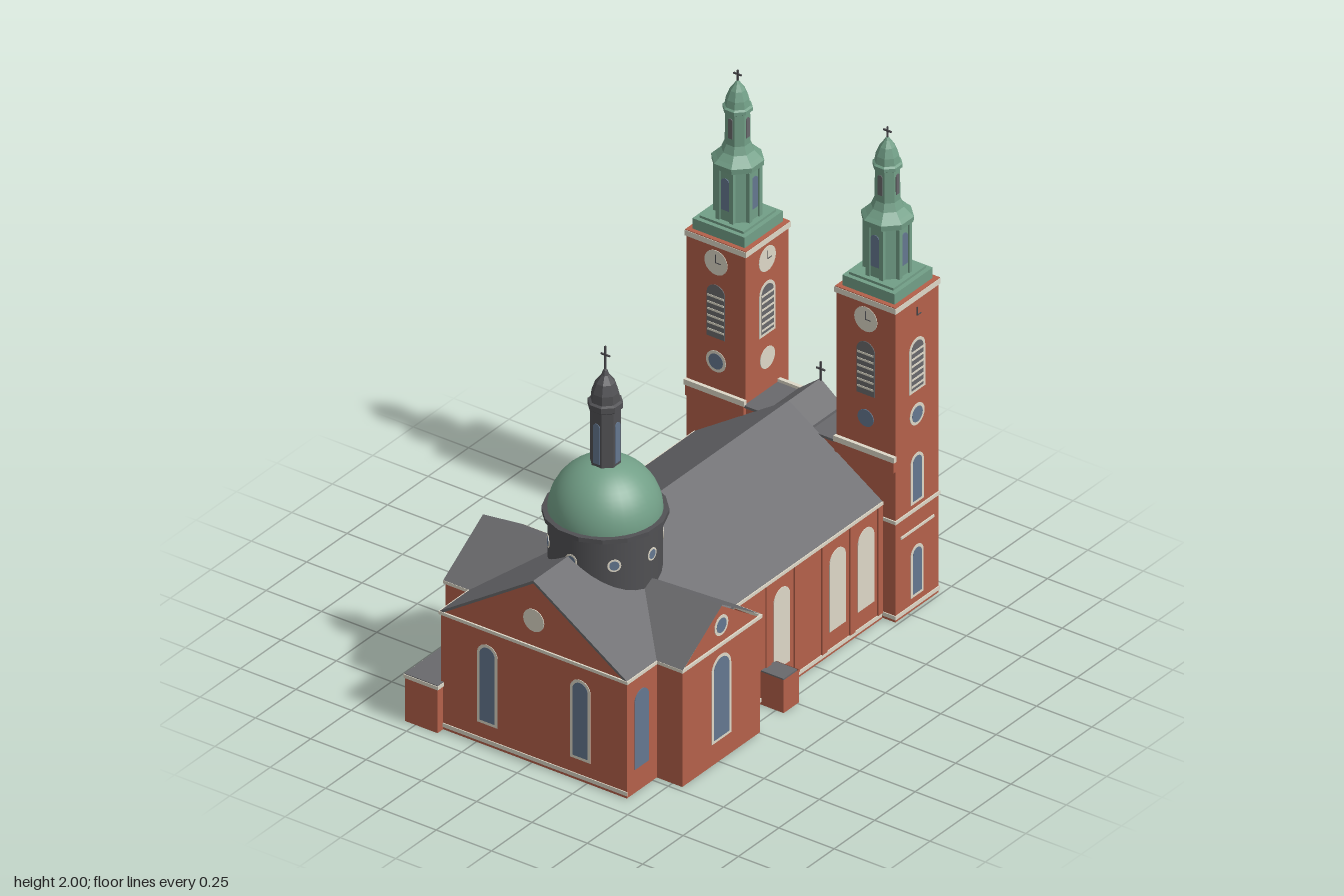
import * as THREE from 'three';

const mat = (name, color, side = THREE.FrontSide) => {
  const m = new THREE.MeshStandardMaterial({ color, side });
  m.name = name;
  return m;
};

export function createModel() {
  const brick = mat('brick', 0xb4604a, THREE.DoubleSide), cream = mat('cream stone', 0xddd7c7);
  const slate = mat('slate', 0x69696c, THREE.DoubleSide), lead = mat('dark lead', 0x505053);
  const copper = mat('green copper', 0x729f87), glass = mat('blue glass', 0x64778f);
  const model = new THREE.Group();
  model.name = 'church';

  const add = (parent, name, geo, m, x = 0, y = 0, z = 0) => {
    const mesh = new THREE.Mesh(geo, m);
    mesh.name = name;
    mesh.position.set(x, y, z);
    parent.add(mesh);
    return mesh;
  };
  // box given by its limits
  const box = (parent, name, m, x0, x1, y0, y1, z0, z1) =>
    add(parent, name, new THREE.BoxGeometry(x1 - x0, y1 - y0, z1 - z0), m, (x0 + x1) / 2, (y0 + y1) / 2, (z0 + z1) / 2);
  const group = (parent, name, x, y, z, ry = 0) => {
    const g = new THREE.Group();
    g.name = name;
    g.position.set(x, y, z);
    g.rotation.y = ry;
    parent.add(g);
    return g;
  };
  const poly = (pts) => new THREE.Shape(pts.map(([x, y]) => new THREE.Vector2(x, y)));
  const extrude = (shape, depth) => new THREE.ExtrudeGeometry(shape, { depth, bevelEnabled: false, curveSegments: 8 });
  // flat four-cornered faces
  const quads = (list) => {
    const pos = list.flatMap(([a, b, c, d]) => [a, b, c, a, c, d].flat());
    const g = new THREE.BufferGeometry();
    g.setAttribute('position', new THREE.Float32BufferAttribute(pos, 3));
    g.computeVertexNormals();
    return g;
  };
  // hollow walls without floor over a ground outline of [x, z] corners, counter-clockwise from above
  const walls = (pts, y1) => quads(pts.map(([x, z], i) => {
    const [u, w] = pts[(i + 1) % pts.length];
    return [[x, 0, z], [u, 0, w], [u, y1, w], [x, y1, z]];
  }));
  const rect = (x0, x1, z0, z1) => [[x0, z1], [x1, z1], [x1, z0], [x0, z0]];
  // horizontal band running round an outline
  const band = (parent, name, m, inner, outer, y0, y1) => {
    const s = poly(outer.map(([x, z]) => [x, -z]));
    s.holes.push(poly(inner.map(([x, z]) => [x, -z])));
    add(parent, name, extrude(s, y1 - y0), m, 0, y0, 0).rotation.x = -Math.PI / 2;
  };
  // faceted turned solid with flat sides towards the axes
  const turned = (pts, sides) => {
    const g = new THREE.LatheGeometry(pts.map(([r, y]) => new THREE.Vector2(r, y)), sides, Math.PI / sides).toNonIndexed();
    g.computeVertexNormals();
    return g;
  };

  // --- thin plates on walls, facing local +z ---
  const archShape = (w, h) => {
    const s = new THREE.Shape();
    s.moveTo(-w / 2, 0);
    s.lineTo(w / 2, 0);
    s.lineTo(w / 2, h - w / 2);
    s.absarc(0, h - w / 2, w / 2, 0, Math.PI, false);
    s.closePath();
    return s;
  };
  const arch = (p, x, y, w, h, fill, frame) => {
    if (frame) add(p, 'windowFrame', extrude(archShape(w, h), 0.002), frame, x, y, 0);
    const b = frame ? 0.012 : 0;
    add(p, 'windowPane', extrude(archShape(w - 2 * b, h - 2 * b), 0.003), fill, x, y + b, 0);
  };
  const disc = (p, name, x, y, r, m, d = 0.002) => {
    const c = add(p, name, new THREE.CylinderGeometry(r, r, d, 20), m, x, y, d / 2);
    c.rotation.x = Math.PI / 2;
  };
  const roundWindow = (p, x, y, r, frame = true) => {
    if (frame) disc(p, 'roundFrame', x, y, r, cream);
    disc(p, 'roundPane', x, y, r * (frame ? 0.72 : 0.8), glass, 0.003);
  };
  const cross = (p, x, y, z, h, arm) => {
    const g = group(p, 'cross', x, y, z);
    box(g, 'crossPost', lead, -0.003, 0.003, 0, h, -0.003, 0.003);
    box(g, 'crossArm', lead, -arm, arm, h * 0.6, h * 0.6 + 0.006, -0.003, 0.003);
  };
  // slate sheet folded over a ridge along local z
  const roofSheet = (p, half, eaves, ridge, length) => {
    const t = 0.012;
    add(p, 'roof', extrude(poly([[-half, eaves], [0, ridge - t], [half, eaves],
      [half, eaves + t], [0, ridge], [-half, eaves + t]]), length), slate, 0, 0, -length / 2);
  };
  const gable = (p, half, eaves, ridge) =>
    add(p, 'gable', new THREE.ShapeGeometry(poly([[-half, eaves], [half, eaves], [0, ridge]])), brick);

  // --- nave and transept walls, one cross-shaped shell ---
  const CX = 0.01, X0 = -0.41, X1 = 0.43, TX0 = -0.525, TX1 = 0.545, TZ = 0.485, T0 = 0.245, T1 = 0.725;
  const plan = (o) => [[X0 - o, 0.91 + o], [X1 + o, 0.91 + o], [X1 + o, T1 + o], [TX1 + o, T1 + o], [TX1 + o, T0 - o],
    [X1 + o, T0 - o], [X1 + o, -0.665], [X0 - o, -0.665], [X0 - o, T0 - o], [TX0 - o, T0 - o], [TX0 - o, T1 + o], [X0 - o, T1 + o]];
  const nave = group(model, 'nave', 0, 0, 0);
  add(nave, 'naveWalls', walls(plan(0), 0.49), brick);
  band(nave, 'eavesCornice', cream, plan(-0.002), plan(0.007), 0.488, 0.501);
  box(nave, 'frontBase', cream, X0 - 0.004, X1 + 0.004, 0.012, 0.028, 0.91, 0.914);
  roofSheet(group(nave, 'naveRoof', CX, 0, 0.1245), 0.422, 0.49, 0.78, 1.579);

  const front = group(nave, 'frontWall', CX, 0, 0.91);
  gable(front, 0.42, 0.49, 0.775);
  for (const s of [-1, 1]) arch(front, s * 0.21, 0.09, 0.092, 0.34, glass, cream);
  disc(front, 'gableMedallion', 0, 0.61, 0.047, cream, 0.003);
  gable(group(nave, 'rearWall', CX, 0, -0.664, Math.PI), 0.42, 0.49, 0.775);

  for (const s of [-1, 1]) {
    const wall = group(nave, 'sideWall', s > 0 ? X1 : X0, 0, 0, s * Math.PI / 2);
    box(wall, 'sideBase', cream, s > 0 ? -T0 : -0.66, s > 0 ? 0.66 : T0, 0.012, 0.028, 0, 0.004);
    for (const z of [0.22, 0.04, -0.135, -0.305, -0.478, -0.65])
      box(wall, 'pilaster', brick, -s * z - 0.015, -s * z + 0.015, 0.028, 0.488, 0, 0.006);
    for (const z of s > 0 ? [-0.045, -0.39, -0.565] : [-0.045, -0.22, -0.39, -0.565])
      arch(wall, -s * z, 0.1, 0.1, 0.335, s > 0 ? cream : glass, s > 0 ? null : cream);
    arch(wall, -s * 0.82, 0.1, 0.088, 0.325, glass, null);

    // transept arm, its slopes meeting the nave roof in valleys
    const end = group(model, 'transeptEnd', s > 0 ? TX1 : TX0, 0, TZ, s * Math.PI / 2);
    gable(end, 0.24, 0.49, 0.655);
    arch(end, 0, 0.09, 0.12, 0.36, glass, cream);
    roundWindow(end, 0, 0.573, 0.042);
    const out = CX + s * 0.541;
    add(model, 'transeptRoof', quads([-1, 1].map((k) => {
      const q = [[CX + s * 0.42, 0.5, TZ + k * 0.247], [out, 0.5, TZ + k * 0.247], [out, 0.662, TZ], [CX + s * 0.172, 0.662, TZ]];
      return s * k > 0 ? q : q.reverse();
    })), slate);
  }

  // --- low annexes ---
  add(model, 'frontAnnex', walls(rect(-0.548, -0.4, 0.575, 0.945), 0.185), brick);
  box(model, 'frontAnnexCoping', cream, -0.552, -0.396, 0.185, 0.2, 0.571, 0.949);
  box(model, 'frontAnnexRoof', slate, -0.549, -0.399, 0.2, 0.203, 0.574, 0.946);
  add(model, 'sidePorch', walls(rect(0.43, 0.535, -0.01, 0.085), 0.14), brick);
  box(model, 'sidePorchRoof', slate, 0.43, 0.53, 0.134, 0.142, -0.005, 0.08);

  // --- dome ---
  const dome = group(model, 'dome', 0.022, 0, TZ);
  add(dome, 'drum', new THREE.CylinderGeometry(0.211, 0.211, 0.27, 32, 1, true), lead, 0, 0.735, 0);
  add(dome, 'drumRing', turned([[0.211, 0.862], [0.234, 0.87], [0.234, 0.888], [0.205, 0.89]], 16), lead);
  add(dome, 'domeShell', new THREE.SphereGeometry(0.213, 32, 14, 0, Math.PI * 2, 0, Math.PI / 2), copper, 0, 0.882, 0);
  for (let i = 0; i < 8; i++) {
    const a = i * Math.PI / 4;
    roundWindow(group(dome, 'drumWindow', 0.2105 * Math.sin(a), 0, 0.2105 * Math.cos(a), a), 0, 0.765, 0.026);
    if (i % 2) continue;
    const pane = group(dome, 'lanternWindow', 0.0535 * Math.sin(a), 0, 0.0535 * Math.cos(a), a);
    arch(pane, 0, 1.1, 0.03, 0.17, glass, null);
  }
  add(dome, 'lantern', turned([[0.058, 1.05], [0.058, 1.315], [0.067, 1.322], [0.067, 1.345], [0.056, 1.35],
    [0.052, 1.385], [0.038, 1.425], [0.015, 1.455], [0.008, 1.475], [0, 1.48]], 8), lead);
  cross(dome, 0, 1.475, 0, 0.1, 0.02);

  // --- towers ---
  const H = 0.133, TWZ = -0.805;
  const square = (h) => rect(-h, h, -h, h);
  const block = (p, name, m, h, y0, y1) => box(p, name, m, -h, h, y0, y1, -h, h);
  for (const side of [-1, 1]) {
    const t = group(model, side > 0 ? 'leftTower' : 'rightTower', side > 0 ? 0.353 : -0.324, 0, TWZ);
    add(t, 'towerShaft', walls(square(H), 1.315), brick);
    band(t, 'towerBase', cream, square(H - 0.001), square(H + 0.004), 0.012, 0.028);
    band(t, 'middleBand', cream, square(H - 0.001), square(H + 0.005), 0.418, 0.432);
    block(t, 'towerCornice', cream, H + 0.006, 1.315, 1.338);
    block(t, 'towerTop', brick, H + 0.004, 1.338, 1.341);
    box(t, 'frontCorbel', brick, -H, H, 0.64, 0.685, H, H + 0.012);
    box(t, 'frontBand', cream, -H - 0.004, H + 0.004, 0.685, 0.708, H, H + 0.015);

    // faces: 0 front, 1 +x, 2 back, 3 -x
    for (let i = 0; i < 4; i++) {
      const a = i * Math.PI / 2, inner = i === (side > 0 ? 3 : 1);
      const f = group(t, 'towerFace', Math.sin(a) * H, 0, Math.cos(a) * H, a);
      if (!(side > 0 && i === 1)) disc(f, 'clockDial', 0, 1.245, 0.052, cream);
      box(f, 'clockHand', lead, -0.0015, 0.0015, 1.244, 1.28, 0, 0.004);
      box(f, 'clockHand', lead, 0, 0.024, 1.244, 1.247, 0, 0.004);
      // louvred belfry opening
      arch(f, 0, 0.925, i % 2 ? 0.098 : 0.082, 0.225, slate, i % 2 ? cream : null);
      for (let k = 0; k < 6; k++)
        box(f, 'louvre', cream, -0.037, 0.037, 0.95 + k * 0.029, 0.958 + k * 0.029, 0, 0.005);
      if (i === 2 || inner) disc(f, 'blindRoundel', 0, 0.825, 0.045, cream, 0.003);
      else roundWindow(f, 0, 0.825, 0.045, !(side > 0 && i === 0));
      if (i === 2 || i === (side > 0 ? 1 : 3)) {
        const blind = i === 2 && side > 0;
        arch(f, 0, 0.45, 0.08, 0.21, blind ? cream : glass, blind ? null : cream);
        arch(f, 0, 0.055, 0.078, 0.215, glass, cream);
        box(f, 'sill', cream, -0.102, 0.102, 0.338, 0.348, 0, 0.005);
      }
    }

    // copper spire
    block(t, 'spireBase', copper, 0.118, 1.34, 1.385);
    block(t, 'spireStep', copper, 0.1, 1.385, 1.395);
    add(t, 'spire', turned([[0.082, 1.39], [0.082, 1.605], [0.098, 1.61], [0.1, 1.632], [0.085, 1.645], [0.062, 1.668],
      [0.049, 1.7], [0.047, 1.83], [0.057, 1.836], [0.057, 1.85], [0.049, 1.856], [0.044, 1.885], [0.03, 1.92],
      [0.012, 1.945], [0.006, 1.955], [0, 1.957]], 8), copper);
    for (let i = 0; i < 8; i++) {
      const a = i * Math.PI / 4, c = a + Math.PI / 8;
      box(t, 'spireColumn', copper, -0.009, 0.009, 1.39, 1.607, -0.009, 0.009)
        .position.set(Math.sin(c) * 0.08, 1.498, Math.cos(c) * 0.08);
      if (i % 2) continue;
      const f = group(t, 'spireFace', Math.sin(a) * 0.0755, 0, Math.cos(a) * 0.0755, a);
      arch(f, 0, 1.44, 0.038, 0.135, glass, null);
      const g = group(t, 'upperSpireFace', Math.sin(a) * 0.0445, 0, Math.cos(a) * 0.0445, a);
      arch(g, 0, 1.73, 0.02, 0.085, slate, null);
    }
    cross(t, 0, 1.95, 0, 0.05, 0.018);
  }

  // --- entrance block between the towers ---
  const entry = group(model, 'entrance', 0.015, 0, 0);
  add(entry, 'entranceWall', walls(rect(-0.205, 0.205, -0.872, -0.672), 0.68), brick);
  box(entry, 'entranceRoof', slate, -0.205, 0.205, 0.68, 0.69, -0.87, -0.66);
  box(entry, 'parapetCoping', cream, -0.205, 0.205, 0.68, 0.702, -0.884, -0.868);
  const porch = group(entry, 'entranceGable', -0.005, 0, -0.76);
  roofSheet(porch, 0.1, 0.69, 0.78, 0.2);
  gable(group(porch, 'entranceGableEnd', 0, 0, -0.099, Math.PI), 0.1, 0.69, 0.77);
  cross(entry, 0, 0.77, -0.855, 0.085, 0.02);
  // portico
  box(entry, 'porticoWall', lead, -0.205, 0.205, 0, 0.385, -0.88, -0.873);
  box(entry, 'entablature', cream, -0.205, 0.205, 0.38, 0.415, -0.905, -0.873);
  add(entry, 'pediment', extrude(poly([[-0.205, 0.415], [0.205, 0.415], [0, 0.56]]), 0.03), cream, 0, 0, -0.904);
  for (let i = 0; i < 4; i++)
    add(entry, 'porticoColumn', new THREE.CylinderGeometry(0.011, 0.012, 0.38, 10), cream, -0.192 + i * 0.128, 0.19, -0.89);
  const back = group(entry, 'porticoOpenings', 0, 0, -0.88, Math.PI);
  for (const x of [-0.128, 0, 0.128]) {
    roundWindow(back, x, 0.25, 0.032);
    box(back, 'door', brick, x - 0.032, x + 0.032, 0, 0.17, 0, 0.004);
  }
  return model;
}
